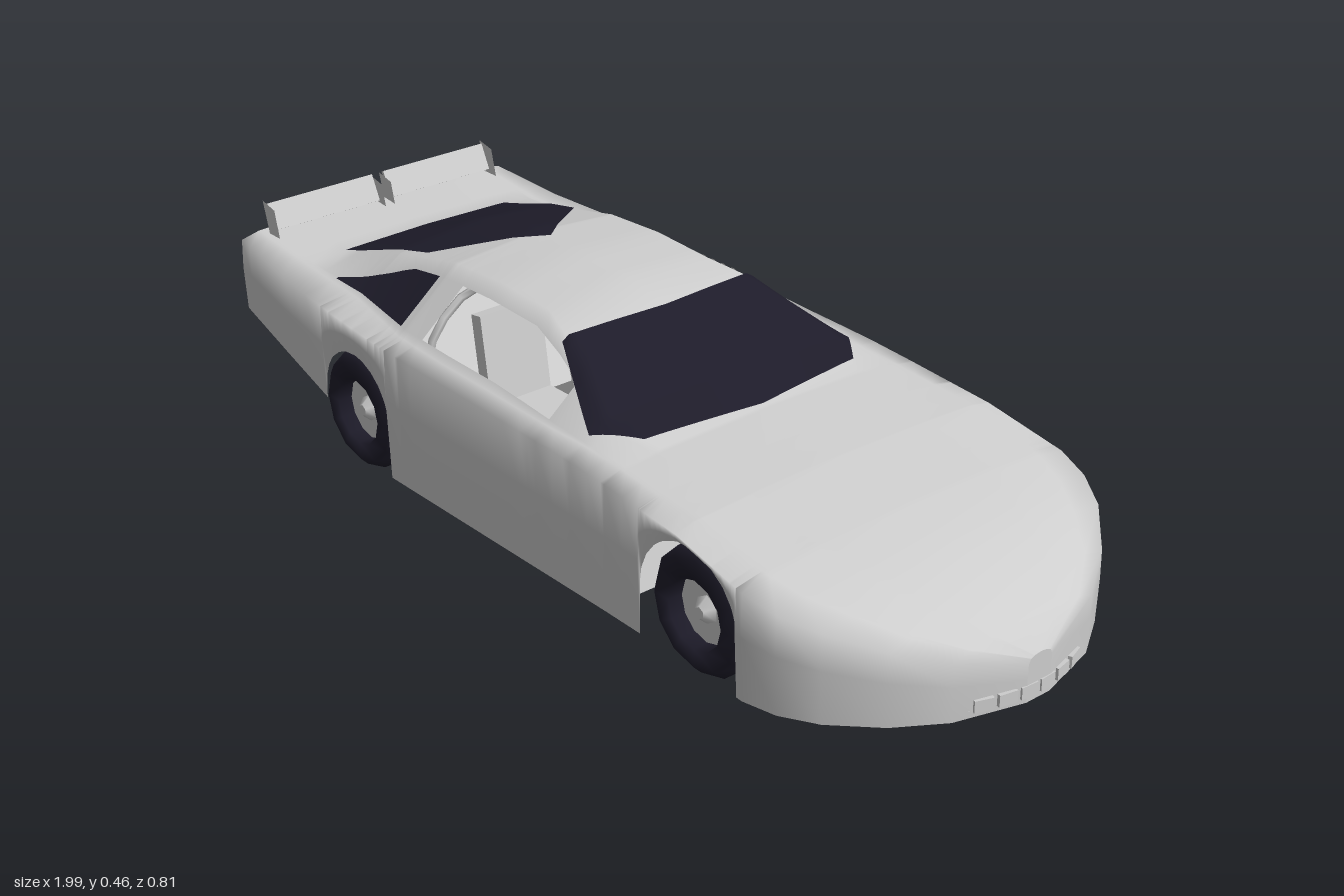
import * as THREE from 'three';

const mat = (name, color, side = THREE.DoubleSide) => {
  const m = new THREE.MeshStandardMaterial({ color, side });
  m.name = name;
  return m;
};

// Body stations: x, half width, cabin base z/y, roof edge z/y, centre y
const STATIONS = [
  [-0.99, 0.345, 0.30, 0.352, 0.20, 0.356, 0.358],
  [-0.80, 0.365, 0.30, 0.333, 0.20, 0.338, 0.341],
  [-0.60, 0.385, 0.31, 0.328, 0.20, 0.398, 0.416],
  [-0.40, 0.395, 0.345, 0.32, 0.20, 0.440, 0.455],
  [-0.25, 0.395, 0.35, 0.317, 0.20, 0.447, 0.460],
  [-0.10, 0.395, 0.35, 0.315, 0.20, 0.440, 0.452],
  [0.00, 0.395, 0.35, 0.312, 0.23, 0.420, 0.430],
  [0.10, 0.395, 0.35, 0.310, 0.26, 0.378, 0.393],
  [0.18, 0.395, 0.345, 0.308, 0.29, 0.338, 0.357],
  [0.29, 0.395, 0.345, 0.302, 0.25, 0.312, 0.318],
  [0.50, 0.398, 0.35, 0.286, 0.20, 0.293, 0.297],
  [0.68, 0.405, 0.34, 0.252, 0.20, 0.263, 0.268],
  [0.75, 0.390, 0.32, 0.234, 0.18, 0.247, 0.251],
  [0.82, 0.350, 0.28, 0.215, 0.16, 0.228, 0.232],
  [0.90, 0.270, 0.22, 0.184, 0.12, 0.195, 0.198],
  [0.96, 0.175, 0.14, 0.154, 0.08, 0.162, 0.164],
  [1.00, 0.030, 0.025, 0.112, 0.015, 0.116, 0.118],
];
const ARCHES = [[-0.51, 0.122], [0.53, 0.133]];
const lerp = THREE.MathUtils.lerp;

function station(x) {
  let i = 0;
  while (i < STATIONS.length - 2 && x > STATIONS[i + 1][0]) i++;
  const a = STATIONS[i], b = STATIONS[i + 1];
  const k = (x - a[0]) / (b[0] - a[0]);
  return a.map((v, n) => lerp(v, b[n], k));
}

// Half section from sill to roof centre, as [z, y] points
function halfSection(x) {
  const [, w, zb, yb, zr, yr, yc] = station(x);
  const ys = yb - 0.01;
  // The sill is level, and rises behind the rear wheel
  let low = x < -0.51 ? 0.11 - (x + 0.63) * 0.2 : 0.025;
  for (const [cx, r] of ARCHES) {
    const d = Math.abs(x - cx);
    if (d < r) low = Math.max(low, 0.135 + Math.sqrt(r * r - d * d) * 0.97);
  }
  low = Math.min(low, ys - 0.008);
  const tTop = x < -0.52 ? Math.max(0.14, 0.8 - (-0.52 - x) * 3.6) : 0.8;
  const pillar = t => [lerp(zb, zr, t), lerp(yb, yr, t)];
  return [[w * 0.985, low], [w, lerp(low, ys, 0.6)], [w * 0.995, ys],
    [zb, yb], pillar(0.1), pillar(tTop), [zr, yr], [0, yc]];
}

// Height of the upper skin above a plan point
function skinHeight(x, z) {
  const s = halfSection(x).slice(2);
  const a = Math.abs(z);
  for (let i = 0; i < s.length - 1; i++) {
    if (a >= s[i + 1][0]) return lerp(s[i][1], s[i + 1][1], (s[i][0] - a) / (s[i][0] - s[i + 1][0]));
  }
  return s[s.length - 1][1];
}

// Surface through rows of points; rows run along +x, columns from +z to -z
function grid(rows, keep = () => true) {
  const n = rows[0].length, index = [];
  for (let i = 0; i < rows.length - 1; i++) {
    for (let j = 0; j < n - 1; j++) {
      if (!keep(i, j)) continue;
      const a = i * n + j, b = a + n;
      index.push(a, b, a + 1, b, b + 1, a + 1);
    }
  }
  const g = new THREE.BufferGeometry();
  g.setAttribute('position', new THREE.Float32BufferAttribute(rows.flat(2), 3));
  g.setIndex(index);
  g.computeVertexNormals();
  return g;
}

export function createModel() {
  const car = new THREE.Group();
  const paint = mat('light grey paint', 0xcdcdcd);
  const dark = mat('dark glass and rubber', 0x1e1c2a);
  const floorGrey = mat('floor grey', 0x777777);
  const add = (name, geo, m, x = 0, y = 0, z = 0, parent = car) => {
    const mesh = new THREE.Mesh(geo, m);
    mesh.name = name;
    mesh.position.set(x, y, z);
    parent.add(mesh);
    return mesh;
  };
  const box = (name, w, h, d, x, y, z) => add(name, new THREE.BoxGeometry(w, h, d), paint, x, y, z);

  // Body shell with wheel arches and open side windows
  const xs = STATIONS.map(s => s[0]);
  for (let x = -0.95; x < 0.7; x += 0.05) xs.push(x);
  for (const [cx, r] of ARCHES) {
    for (let k = 0; k <= 12; k++) xs.push(cx - r * 0.999 * Math.cos(k * Math.PI / 12));
    xs.push(cx - r - 0.001, cx + r + 0.001);
  }
  xs.push(-0.7, -0.42, -0.34, 0.075);
  xs.sort((a, b) => a - b);
  const stops = xs.filter((x, i) => i === 0 || x - xs[i - 1] > 1e-5);
  const rows = stops.map(x => {
    const h = halfSection(x);
    const left = h.map(([z, y]) => [x, y, z]);
    const right = h.slice(0, -1).reverse().map(([z, y]) => [x, y, -z]);
    return [...left, ...right];
  });
  const mid = i => (stops[i] + stops[i + 1]) / 2;
  const quarter = i => mid(i) > -0.7 && mid(i) < -0.42;
  const door = i => mid(i) > -0.34 && mid(i) < 0.075;
  const isWindow = (i, j) => (j === 4 || j === 9) && (quarter(i) || door(i));
  add('bodyShell', grid(rows, (i, j) => !isWindow(i, j)), paint);
  add('leftQuarterGlass', grid(rows, (i, j) => j === 4 && quarter(i)), dark);

  // Tail and nose panels
  for (const [name, row] of [['tailPanel', rows[0]], ['nosePanel', rows[rows.length - 1]]]) {
    const shape = new THREE.Shape(row.map(p => new THREE.Vector2(-p[2], p[1])));
    add(name, new THREE.ShapeGeometry(shape).rotateY(Math.PI / 2), paint, row[0][0]);
  }

  // Windscreen and rear window, laid just over the skin
  const path = (pts, u) => {
    const k = Math.min(u * (pts.length - 1), pts.length - 1.0001), i = Math.floor(k);
    return [lerp(pts[i][0], pts[i + 1][0], k - i), lerp(pts[i][1], pts[i + 1][1], k - i)];
  };
  const glass = (name, back, front) => {
    const r = [];
    for (let v = 0; v <= 16; v++) {
      r.push([]);
      for (let u = 0; u <= 32; u++) {
        const a = path(back, u / 32), b = path(front, u / 32);
        const x = lerp(a[0], b[0], v / 16), z = lerp(a[1], b[1], v / 16);
        r[v].push([x, skinHeight(x, z) + 0.006, z]);
      }
    }
    add(name, grid(r), dark);
  };
  glass('windscreen', [[-0.01, 0.24], [0.01, 0], [-0.01, -0.24]],
    [[0.18, 0.33], [0.26, 0.265], [0.29, 0], [0.26, -0.265], [0.18, -0.33]]);
  glass('rearWindow', [[-0.79, 0.21], [-0.79, 0], [-0.79, -0.21]],
    [[-0.515, 0.19], [-0.35, 0], [-0.515, -0.19]]);

  // Underside pans, as x, y and half width
  const pan = (name, pts, m) => add(name, grid(pts.map(([x, y, w]) => [[x, y, w], [x, y, -w]])), m);
  pan('cabinFloor', [[-0.4, 0.09, 0.37], [0.1, 0.08, 0.385]], floorGrey);
  pan('frontFloor', [[0.1, 0.08, 0.385], [0.385, 0.1, 0.385]], paint);
  pan('enginePan', [[0.385, 0.1, 0.25], [0.67, 0.08, 0.25]], paint);
  pan('nosePan', [[0.67, 0.07, 0.395], [0.75, 0.06, 0.38], [0.82, 0.05, 0.34], [0.9, 0.045, 0.26], [0.97, 0.04, 0.14]], paint);
  pan('rearPan', [[-0.95, 0.2, 0.33], [-0.65, 0.15, 0.25], [-0.4, 0.09, 0.25]], paint);
  for (const s of [-1, 1]) {
    const rail = box('rearRail', 0.27, 0.02, 0.025, -0.79, 0.14, s * 0.2);
    rail.rotation.z = -0.13;
  }
  box('rearCrossBar', 0.025, 0.025, 0.46, -0.9, 0.157, 0);

  // Tail spoiler with end plates and centre brackets
  const plate = new THREE.Shape([[-0.985, 0.42], [-0.94, 0.41], [-0.925, 0.35], [-0.965, 0.35]].map(p => new THREE.Vector2(...p)));
  const plateGeo = new THREE.ShapeGeometry(plate);
  for (const s of [-1, 1]) {
    const blade = box('spoilerBlade', 0.008, 0.06, 0.27, -0.963, 0.387, s * 0.15);
    blade.rotation.z = 0.45;
    add('spoilerEndPlate', plateGeo, paint, 0, 0, s * 0.288);
    add('spoilerBracket', plateGeo, paint, 0, -0.01, s * 0.012);
  }

  // Row of small front air inlets
  for (let k = 0; k < 6; k++) {
    const z = -0.115 + k * 0.046;
    const inlet = box('frontInlet', 0.012, 0.024, 0.038, 0.997 - z * z * 1.5, 0.048, z);
    inlet.rotation.y = -z * 3;
  }

  // Wheels
  const tyre = new THREE.LatheGeometry([[0.07, -0.055], [0.108, -0.055], [0.125, -0.038], [0.125, 0.038],
    [0.108, 0.055], [0.07, 0.055], [0.066, 0], [0.07, -0.055]].map(p => new THREE.Vector2(...p)), 12).rotateX(Math.PI / 2);
  const rim = new THREE.CylinderGeometry(0.07, 0.07, 0.05, 12).rotateX(Math.PI / 2);
  const hub = new THREE.CylinderGeometry(0.012, 0.03, 0.02, 6).rotateX(Math.PI / 2);
  for (const x of [-0.51, 0.535]) {
    for (const s of [-1, 1]) {
      const wheel = new THREE.Group();
      wheel.name = x > 0 ? 'frontWheel' : 'rearWheel';
      wheel.position.set(x, 0.125, s * 0.328);
      wheel.rotation.y = s > 0 ? 0 : Math.PI;
      add('tyre', tyre, dark, 0, 0, 0, wheel);
      add('rim', rim, paint, 0, 0, 0, wheel);
      add('hub', hub, paint, 0, 0, 0.034, wheel);
      car.add(wheel);
    }
  }

  // Cabin interior: seat, dash, roll cage and window net
  box('seatBase', 0.15, 0.06, 0.15, -0.2, 0.15, 0.15);
  const back = box('seatBack', 0.03, 0.23, 0.15, -0.29, 0.25, 0.15);
  back.rotation.z = 0.15;
  box('dashboard', 0.06, 0.06, 0.62, 0.13, 0.27, 0);
  for (const s of [-1, 1]) {
    const bar = new THREE.CatmullRomCurve3([[-0.37, 0.1, 0.3], [-0.36, 0.32, 0.29], [-0.32, 0.42, 0.2],
      [-0.08, 0.415, 0.2], [0.1, 0.31, 0.28], [0.13, 0.1, 0.3]].map(([x, y, z]) => new THREE.Vector3(x, y, z * s)));
    add('rollCageBar', new THREE.TubeGeometry(bar, 20, 0.009, 6), paint);
  }
  const net = (x, z, y, len, h) => add('netStrap', new THREE.BoxGeometry(len, h, 0.006), floorGrey, x, y, z).rotateX(0.75);
  for (let k = 0; k < 5; k++) net(-0.19, -0.335 + k * 0.021, 0.325 + k * 0.019, 0.22, 0.007);
  for (let k = 0; k < 8; k++) net(-0.295 + k * 0.03, -0.293, 0.363, 0.008, 0.11);
  return car;
}
